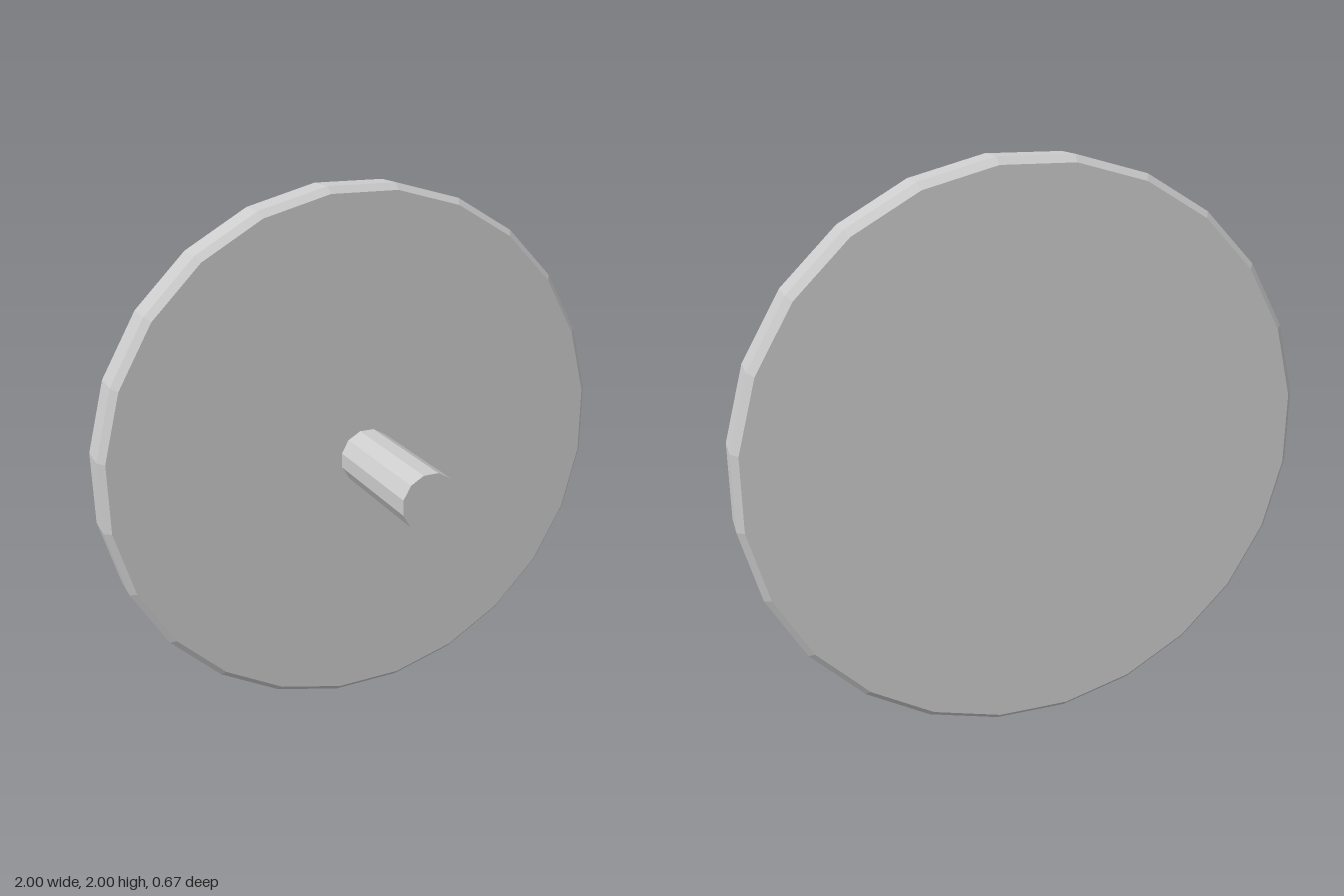
import * as THREE from 'three';

const material = new THREE.MeshStandardMaterial({ color: 0xcccccc, flatShading: true });

// Faceted solid turned about the z axis, from [apothem, z] points running back to front.
// Half a facet of turn puts a flat side at the top, bottom, left and right.
function turned(name, sides, profile) {
  const step = Math.PI / sides;
  const points = profile.map(([a, z]) => new THREE.Vector2(a / Math.cos(step), z));
  const geometry = new THREE.LatheGeometry(points, sides, step);
  geometry.rotateX(Math.PI / 2);
  const mesh = new THREE.Mesh(geometry, material);
  mesh.name = name;
  mesh.position.y = 1;
  return mesh;
}

export function createModel() {
  const model = new THREE.Group();
  model.name = 'discWithShaft';

  // Disc with a chamfered rim
  const back = -0.333, front = -0.172, chamfer = 0.024;
  model.add(turned('disc', 24, [
    [0, back],
    [1 - chamfer, back],
    [1, back + chamfer],
    [1, front - chamfer],
    [1 - chamfer, front],
    [0, front],
  ]));

  // Shaft standing out from the middle of the front face
  model.add(turned('shaft', 12, [
    [0, front - 0.01],
    [0.104, front - 0.01],
    [0.104, 0.333],
    [0, 0.333],
  ]));

  return model;
}
